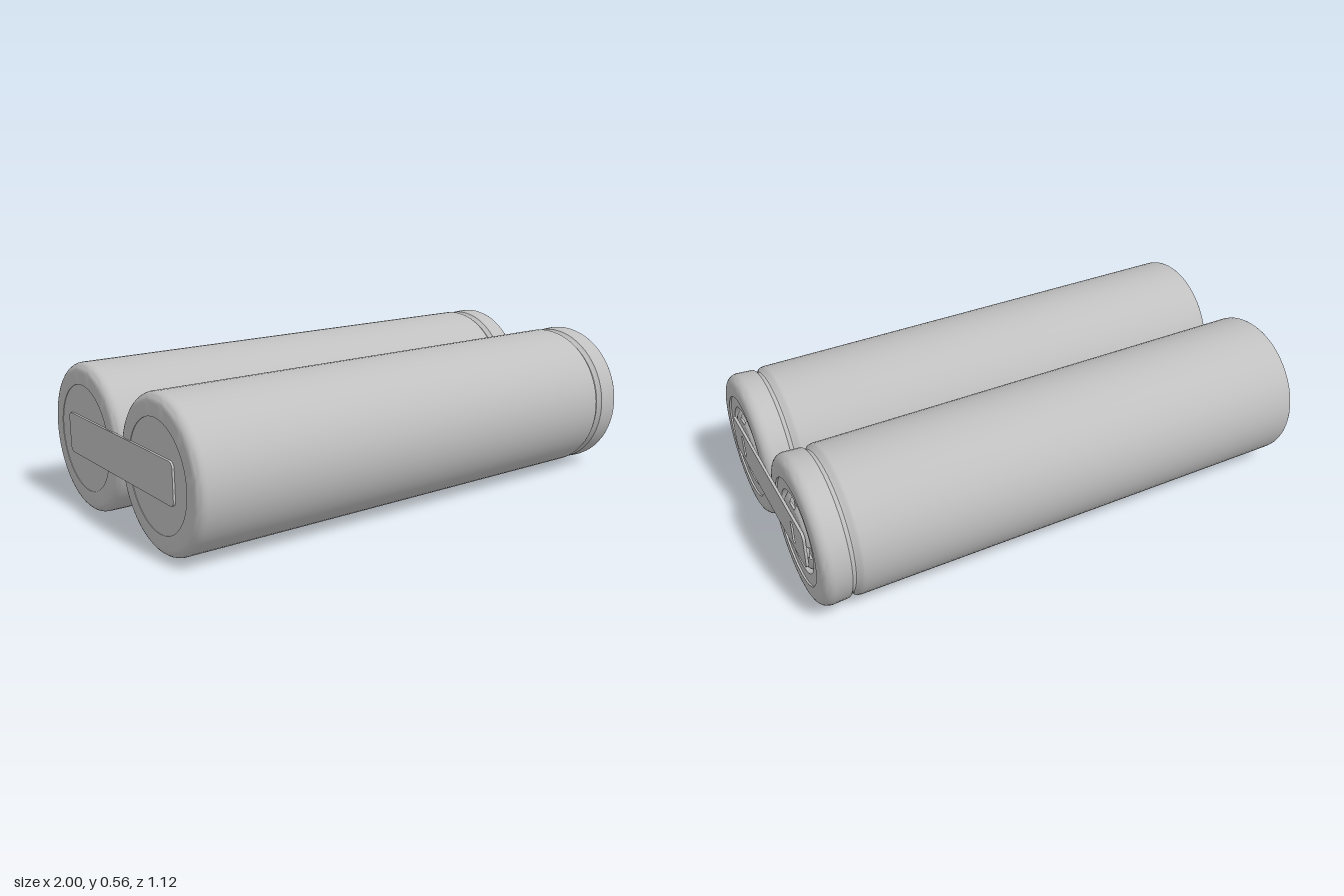
import * as THREE from 'three';
import { toCreasedNormals } from 'three/addons/utils/BufferGeometryUtils.js';

const R = 0.28; // cell radius, also half the spacing between axes
const SEGMENTS = 64;

const metal = new THREE.MeshStandardMaterial({ color: 0xc0c0c0, side: THREE.DoubleSide });
metal.name = 'satinMetal';

// Spin a [radius, position along axis] profile
function lathe(name, profile, phiStart = 0, phiLength = Math.PI * 2, segments = SEGMENTS) {
  const points = profile.map(([r, y]) => new THREE.Vector2(r, y));
  const geometry = new THREE.LatheGeometry(points, segments, phiStart, phiLength);
  const mesh = new THREE.Mesh(toCreasedNormals(geometry, 0.6), metal);
  mesh.name = name;
  return mesh;
}

// Quarter-round corner as profile points
function corner(r, y, radius, from, to, steps = 6) {
  return Array.from({ length: steps + 1 }, (_, i) => {
    const a = from + ((to - from) * i) / steps;
    return [r + radius * Math.cos(a), y + radius * Math.sin(a)];
  });
}

function createCell(name) {
  const cell = new THREE.Group();
  cell.name = name;

  // Can: closed base, straight wall, crimp groove, rolled rim
  cell.add(lathe('can', [
    [0, -0.992], [0.2, -0.992], [0.2, -0.994],
    ...corner(R - 0.035, -0.959, 0.035, -Math.PI / 2, 0),
    [R, 0.845], [0.277, 0.855], [0.268, 0.864], [0.265, 0.872], [0.268, 0.88], [0.277, 0.889],
    ...corner(R - 0.04, 0.95, 0.04, 0, Math.PI / 2),
    [0.2, 0.99], [0.2, 0.983],
  ]));

  // Insulating ring and the recess behind the terminal
  cell.add(lathe('sealRing', [[0.2, 0.983], [0.155, 0.983], [0.155, 0.94], [0, 0.94]]));

  // Raised terminal: flat crown on four curved legs with vents between
  cell.add(lathe('terminalCrown', [[0.115, 0.98], [0.115, 0.989], [0, 0.989]]));
  for (let i = 0; i < 4; i++) {
    const gap = 0.19;
    cell.add(lathe('terminalLeg',
      [[0.154, 0.942], [0.15, 0.958], [0.141, 0.973], [0.129, 0.984], [0.115, 0.989]],
      (i * Math.PI) / 2 + gap, Math.PI / 2 - 2 * gap, 12));
  }

  cell.rotation.z = -Math.PI / 2; // lay the axis along +x
  cell.position.y = R;
  return cell;
}

// Rounded rectangle centred on (cx, 0)
function roundedRect(path, cx, w, h, r) {
  const x = w / 2 - r, y = h / 2 - r;
  path.absarc(cx + x, y, r, 0, Math.PI / 2);
  path.absarc(cx - x, y, r, Math.PI / 2, Math.PI);
  path.absarc(cx - x, -y, r, Math.PI, Math.PI * 1.5);
  path.absarc(cx + x, -y, r, Math.PI * 1.5, Math.PI * 2);
  path.closePath();
  return path;
}

// Connecting strip across both cells, optionally with a slot over each axis
function createStrip(name, x, slotted) {
  const shape = roundedRect(new THREE.Shape(), 0, 0.8, 0.153, 0.022);
  if (slotted) {
    for (const side of [-1, 1]) {
      shape.holes.push(roundedRect(new THREE.Path(), side * R, 0.024, 0.095, 0.0118));
    }
  }
  const geometry = new THREE.ExtrudeGeometry(shape, { depth: 0.01, bevelEnabled: false, curveSegments: 6 });
  geometry.rotateY(Math.PI / 2);
  const strip = new THREE.Mesh(geometry, metal);
  strip.name = name;
  strip.position.set(x, 0.282, 0);
  return strip;
}

export function createModel() {
  const model = new THREE.Group();
  model.name = 'batteryPair';
  for (const side of [1, -1]) {
    const cell = createCell(side > 0 ? 'frontCell' : 'backCell');
    cell.position.z = side * R;
    model.add(cell);
  }
  model.add(createStrip('terminalStrip', 0.99, true));
  model.add(createStrip('baseStrip', -1, false));
  return model;
}
